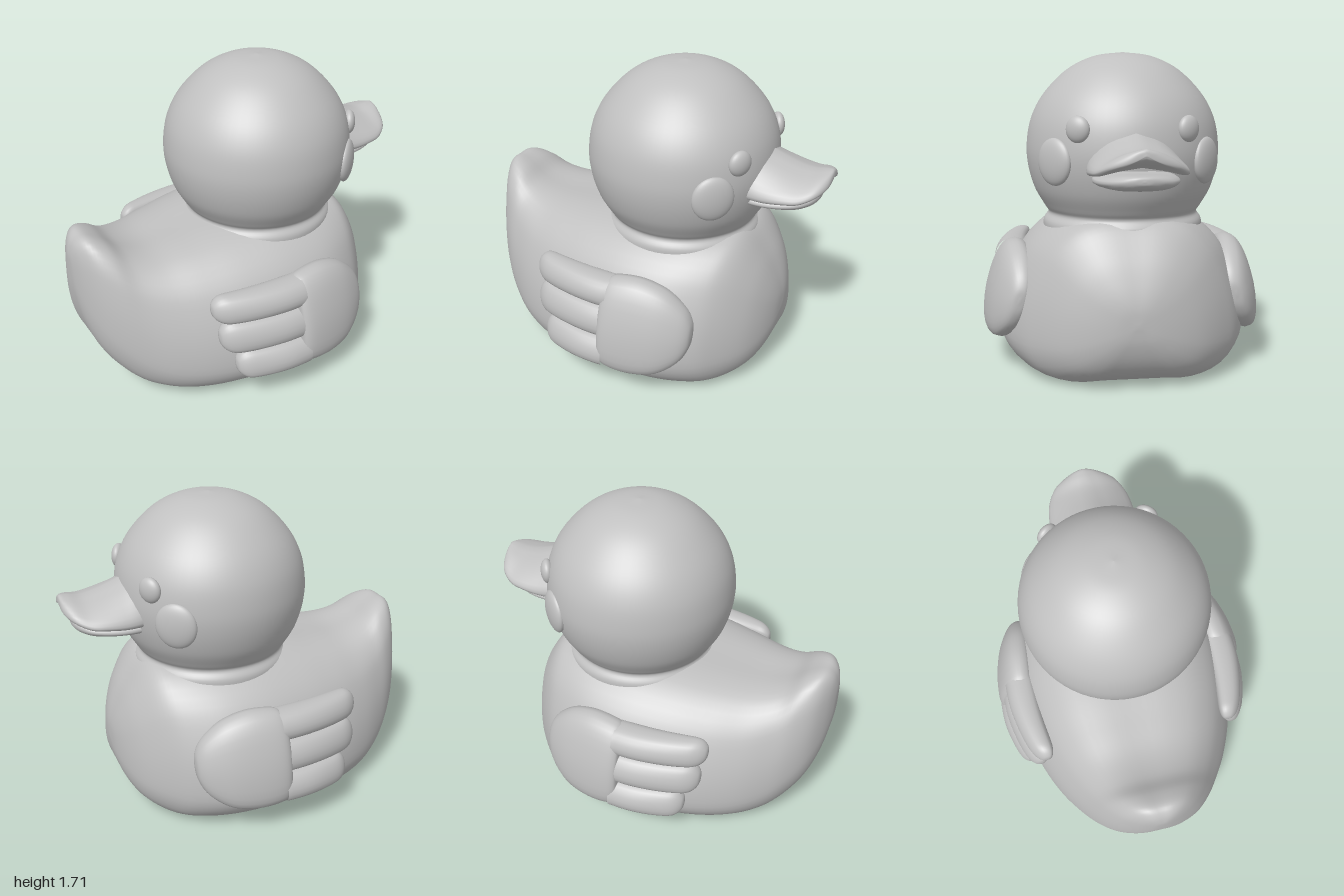
import * as THREE from 'three';
import { mergeVertices } from 'three/addons/utils/BufferGeometryUtils.js';

const grey = new THREE.MeshStandardMaterial({ color: 0xc0c0c0 });
grey.name = 'soft grey';

const smooth = (pts) => new THREE.CatmullRomCurve3(
  pts.map(([a, b, c = 0]) => new THREE.Vector3(a, b, c)), false, 'catmullrom', 0.5);

// Loft along x. Stations are [x, top, bottom, halfWidth]; the half section is
// [width 0..1, height 0..1] from bottom centre to top centre, mirrored in z.
function loft(stations, half, rows, cols, warp = (p) => p) {
  const spine = smooth(stations);
  const width = smooth(stations.map((s) => [s[3], 0]));
  const ring = smooth(half).getPoints(cols);
  for (let j = cols - 1; j > 0; j--) ring.push(new THREE.Vector3(-ring[j].x, ring[j].y, 0));
  const n = ring.length, pos = [], idx = [];
  for (let i = 0; i <= rows; i++) {
    const s = spine.getPoint(i / rows);
    const w = Math.max(0, width.getPoint(i / rows).x);
    for (const r of ring) {
      const p = new THREE.Vector3(s.x, s.z + (s.y - s.z) * r.y, w * r.x);
      pos.push(...warp(p).toArray());
    }
    if (i === rows) break;
    for (let j = 0; j < n; j++) {
      const a = i * n + j, b = i * n + (j + 1) % n;
      idx.push(a, a + n, b + n, a, b + n, b);
    }
  }
  const g = new THREE.BufferGeometry();
  g.setAttribute('position', new THREE.Float32BufferAttribute(pos, 3));
  g.setIndex(idx);
  const welded = mergeVertices(g, 1e-5);
  welded.computeVertexNormals();
  return welded;
}

function add(parent, name, geometry) {
  const mesh = new THREE.Mesh(geometry, grey);
  mesh.name = name;
  parent.add(mesh);
  return mesh;
}

const OVAL = [[0, 0], [0.5, 0.04], [0.85, 0.2], [1, 0.5], [0.85, 0.8], [0.5, 0.96], [0, 1]];

export function createModel() {
  const duck = new THREE.Group();
  duck.name = 'duck';

  // Body with flat base and upturned tail
  const bodySection = [[0, 0], [0.3, 0], [0.6, 0], [0.85, 0.06], [0.98, 0.18], [1, 0.32],
    [0.96, 0.5], [0.87, 0.68], [0.75, 0.83], [0.55, 0.95], [0.3, 1], [0, 1]];
  const bodyStations = [
    [-1, 0.76, 0.76, 0], [-0.995, 0.84, 0.6, 0.06], [-0.97, 0.91, 0.43, 0.15],
    [-0.92, 0.94, 0.28, 0.25], [-0.84, 0.91, 0.16, 0.34], [-0.74, 0.84, 0.07, 0.42],
    [-0.6, 0.805, 0.02, 0.51], [-0.42, 0.815, 0, 0.59], [-0.2, 0.84, 0, 0.65],
    [0.05, 0.86, 0, 0.68], [0.28, 0.86, 0, 0.66], [0.47, 0.85, 0, 0.58],
    [0.58, 0.82, 0.02, 0.49], [0.68, 0.69, 0.08, 0.37], [0.74, 0.57, 0.16, 0.25],
    [0.775, 0.46, 0.26, 0.12], [0.785, 0.36, 0.36, 0]];
  add(duck, 'body', loft(bodyStations, bodySection, 80, 32, (p) => {
    p.y = Math.max(0, p.y);
    return p;
  }));

  // Head and neck in one turned profile
  const headProfile = smooth([[0.43, 0.7], [0.435, 0.8], [0.408, 0.85], [0.43, 0.89], [0.48, 0.98],
    [0.514, 1.1], [0.521, 1.22], [0.495, 1.36], [0.425, 1.49], [0.3, 1.615],
    [0.155, 1.685], [0, 1.706]]).getPoints(60).map((p) => new THREE.Vector2(Math.max(0, p.x), p.y));
  add(duck, 'head', new THREE.LatheGeometry(headProfile, 64)).position.x = 0.162;

  // Bill: arched upper half, thinner lower half
  const archSection = [[0, 0.3], [0.5, 0.16], [0.9, 0], [1, 0.12], [0.88, 0.4], [0.5, 0.78], [0, 1]];
  add(duck, 'upperBill', loft([
    [0.5, 1.33, 1.1, 0.2], [0.6, 1.33, 1.1, 0.235], [0.7, 1.29, 1.1, 0.245],
    [0.8, 1.255, 1.11, 0.24], [0.88, 1.24, 1.12, 0.22], [0.95, 1.25, 1.15, 0.17],
    [0.99, 1.25, 1.18, 0.09], [1, 1.22, 1.22, 0]], archSection, 40, 16));
  add(duck, 'lowerBill', loft([
    [0.5, 1.12, 1.03, 0.18], [0.62, 1.12, 1.03, 0.215], [0.74, 1.115, 1.035, 0.21],
    [0.85, 1.12, 1.04, 0.17], [0.91, 1.12, 1.055, 0.11], [0.937, 1.115, 1.075, 0.05],
    [0.943, 1.095, 1.095, 0]], OVAL, 32, 14));

  // Wing parts: three feathers behind a rounded shoulder
  const plate = [[0, 0.43, 0.43, 0], [0, 0.6, 0.27, 0.06], [0.015, 0.665, 0.205, 0.09],
    [0.07, 0.69, 0.182, 0.105], [0.2, 0.695, 0.176, 0.105], [0.33, 0.655, 0.2, 0.095],
    [0.43, 0.575, 0.27, 0.07], [0.475, 0.5, 0.35, 0.04], [0.485, 0.43, 0.43, 0]];
  const feathers = [
    { tip: -0.46, top: 0.675, bottom: 0.522 },
    { tip: -0.437, top: 0.53, bottom: 0.35 },
    { tip: -0.367, top: 0.357, bottom: 0.188 }];

  for (const side of [1, -1]) {
    const label = side > 0 ? 'left' : 'right';
    const hug = (p) => {
      p.z += side * (0.655 + (0.43 - p.y) * 0.22 - 0.35 * p.x * p.x);
      return p;
    };
    const wing = new THREE.Group();
    wing.name = label + 'Wing';
    duck.add(wing);
    add(wing, 'wingShoulder', loft(plate, OVAL, 40, 16, hug));
    feathers.forEach(({ tip, top, bottom }, k) => {
      const mid = (top + bottom) / 2, h = (top - bottom) / 2;
      add(wing, 'feather' + (k + 1), loft([
        [tip, mid, mid, 0], [tip + 0.01, mid + h * 0.5, mid - h * 0.5, 0.03],
        [tip + 0.05, mid + h * 0.92, mid - h * 0.9, 0.055], [tip + 0.13, top, bottom, 0.07],
        [-0.1, top, bottom, 0.085], [0.04, top, bottom, 0.085]], OVAL, 24, 12, hug));
    });

    // Eye and cheek: flattened balls turned to face out from the head
    for (const [name, x, y, z, rx, ry, rz] of [
      ['Eye', 0.59, 1.317, 0.277, 0.065, 0.068, 0.036],
      ['Cheek', 0.498, 1.15, 0.388, 0.112, 0.121, 0.04]]) {
      const ball = add(duck, label + name, new THREE.SphereGeometry(1, 32, 20));
      ball.scale.set(rx, ry, rz);
      ball.position.set(x, y, side * z);
      ball.rotation.y = Math.atan2(x - 0.162, side * z);
    }
  }
  return duck;
}
